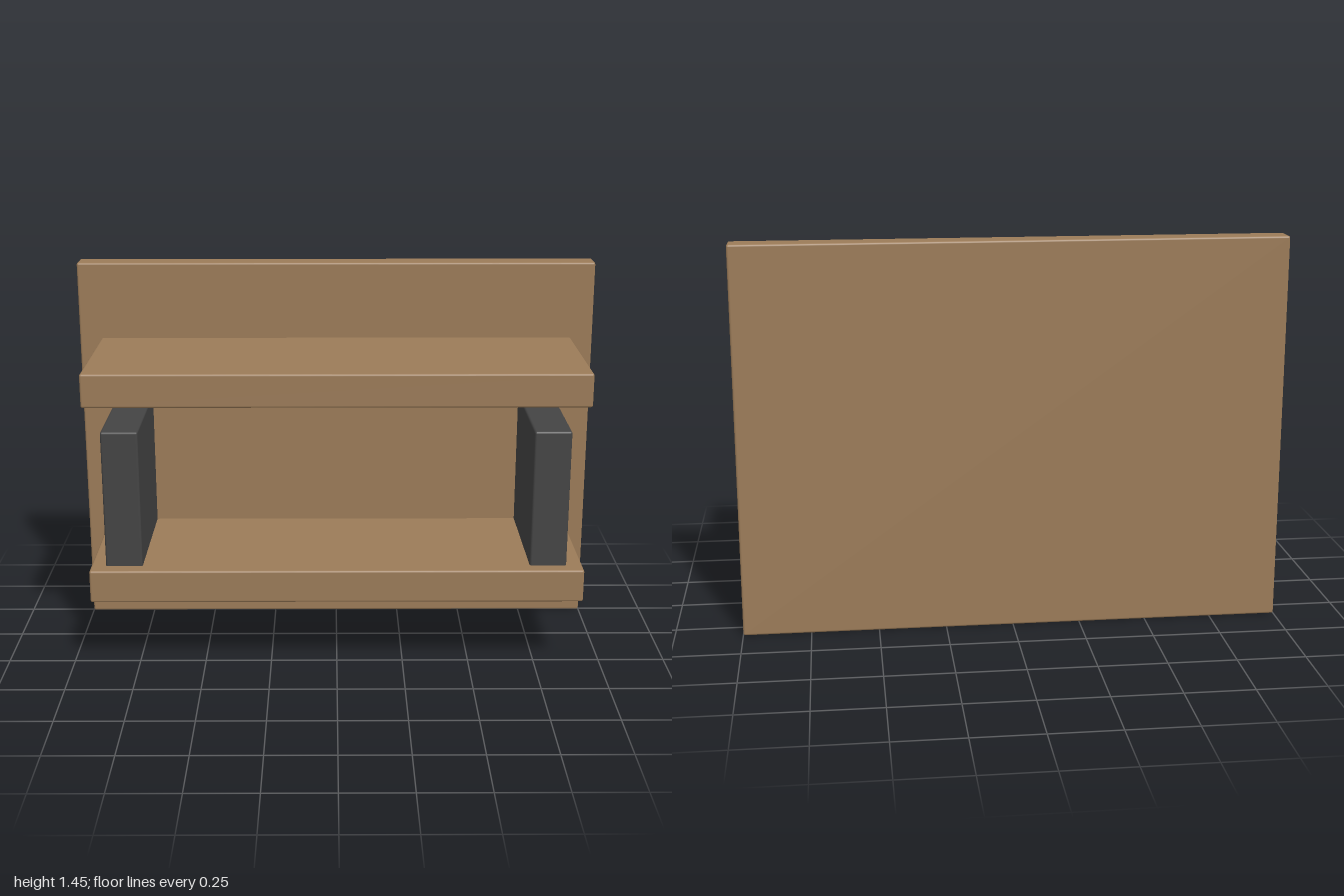
import * as THREE from 'three';
import { RoundedBoxGeometry } from 'three/addons/geometries/RoundedBoxGeometry.js';

export function createModel() {
  const model = new THREE.Group();
  model.name = 'wallShelf';

  const wood = new THREE.MeshStandardMaterial({ color: 0x9b7b58 });
  wood.name = 'wood';
  const charcoal = new THREE.MeshStandardMaterial({ color: 0x444444 });
  charcoal.name = 'charcoal';

  // Softly eased box between two corners
  function addBlock(name, material, [x0, y0, z0], [x1, y1, z1]) {
    const geometry = new RoundedBoxGeometry(x1 - x0, y1 - y0, z1 - z0, 2, 0.008);
    const mesh = new THREE.Mesh(geometry, material);
    mesh.name = name;
    mesh.position.set((x0 + x1) / 2, (y0 + y1) / 2, (z0 + z1) / 2);
    model.add(mesh);
  }

  // Back panel
  addBlock('backPanel', wood, [-1, 0, -0.335], [1, 1.445, -0.24]);

  // Shelves, let slightly into the panel
  addBlock('lowerShelf', wood, [-0.917, 0.275, -0.25], [0.917, 0.4, 0.335]);
  addBlock('upperShelf', wood, [-0.917, 1.025, -0.25], [0.917, 1.15, 0.335]);

  // Upright blocks standing on the lower shelf
  addBlock('leftUpright', charcoal, [0.72, 0.39, -0.25], [0.857, 0.92, 0.282]);
  addBlock('rightUpright', charcoal, [-0.861, 0.39, -0.25], [-0.724, 0.92, 0.282]);

  return model;
}
